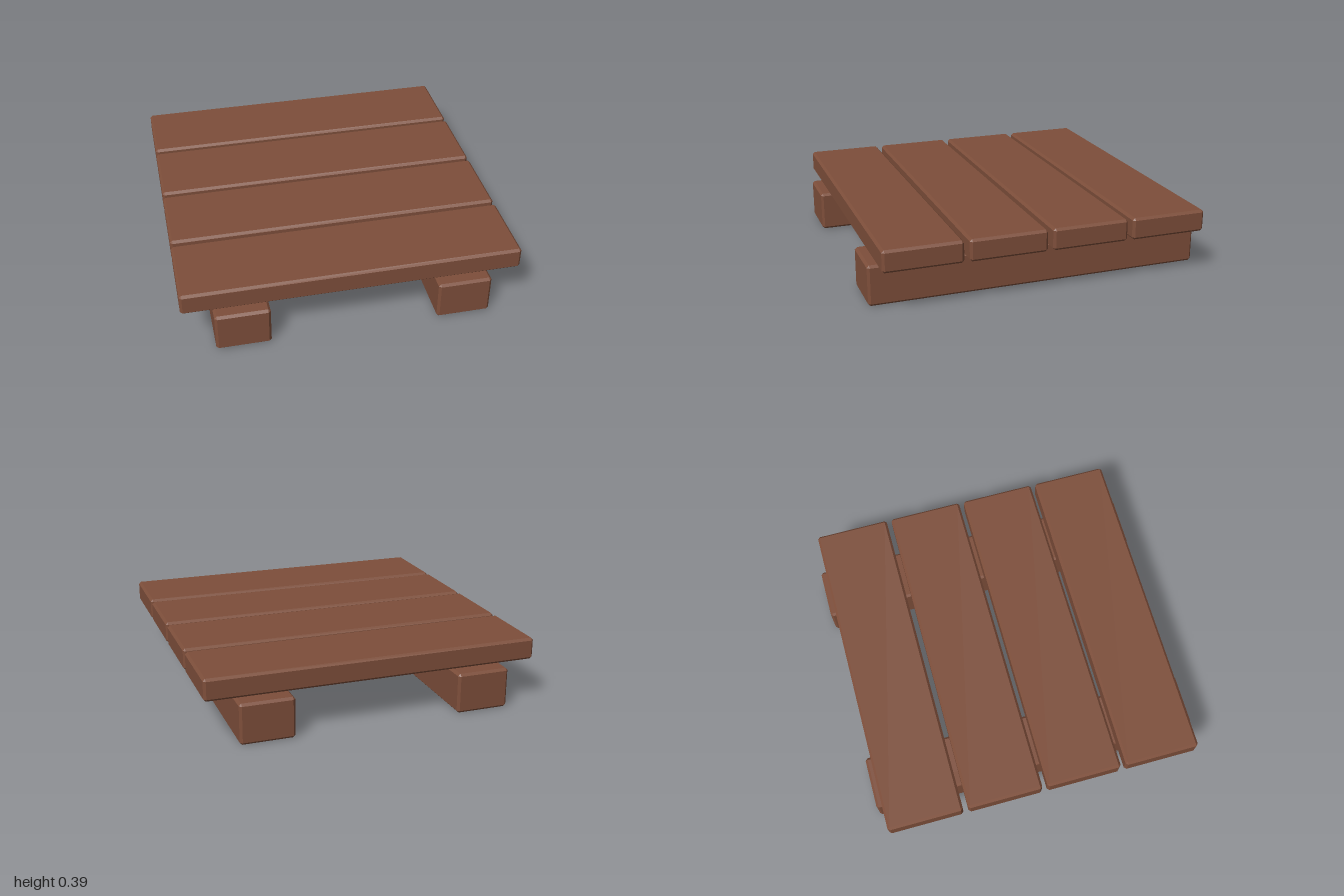
import * as THREE from 'three';
import { ConvexGeometry } from 'three/addons/geometries/ConvexGeometry.js';

// Box with every edge chamfered by c, flat shaded
function chamferedBox(w, h, d, c) {
  const points = [];
  for (const x of [-1, 1]) for (const y of [-1, 1]) for (const z of [-1, 1]) {
    const X = w / 2, Y = h / 2, Z = d / 2;
    points.push(
      new THREE.Vector3(x * X, y * (Y - c), z * (Z - c)),
      new THREE.Vector3(x * (X - c), y * Y, z * (Z - c)),
      new THREE.Vector3(x * (X - c), y * (Y - c), z * Z)
    );
  }
  return new ConvexGeometry(points);
}

export function createModel() {
  const group = new THREE.Group();
  group.name = 'pallet';
  const wood = new THREE.MeshStandardMaterial({ color: 0x7d4e3a });
  wood.name = 'brown wood';

  const add = (name, geometry, x, y, z) => {
    const mesh = new THREE.Mesh(geometry, wood);
    mesh.name = name;
    mesh.position.set(x, y, z);
    group.add(mesh);
  };

  // Two bearers running front to back
  const beam = chamferedBox(0.316, 0.24, 2, 0.014);
  add('leftBeam', beam, 0.645, 0.12, 0);
  add('rightBeam', beam, -0.645, 0.12, 0);

  // Four deck planks, resting just clear of the beams
  const plank = chamferedBox(1.966, 0.13, 0.456, 0.014);
  for (let i = 0; i < 4; i++) add(`plank${i + 1}`, plank, 0, 0.325, (i - 1.5) * 0.487);

  return group;
}
